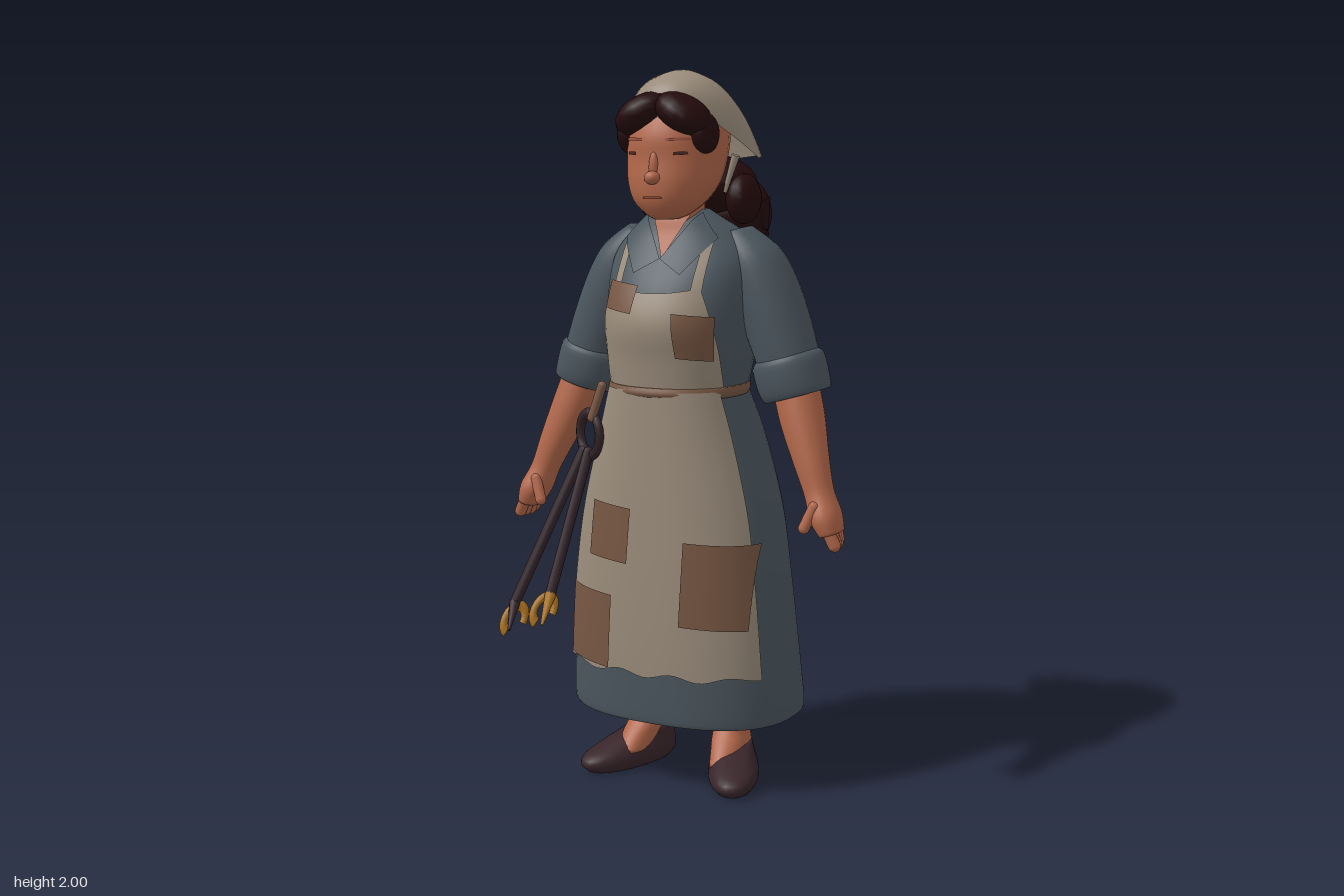
import * as THREE from 'three';
import { mergeVertices } from 'three/addons/utils/BufferGeometryUtils.js';

const paint = (name, color, side = THREE.FrontSide) => {
  const m = new THREE.MeshStandardMaterial({ color, side });
  m.name = name;
  return m;
};
const D = THREE.DoubleSide;
const SKIN = paint('skin', 0xb2674a, D), BLUE = paint('slate cloth', 0x4b565e, D), CREAM = paint('linen', 0x9a8c7b, D),
  BROWN = paint('brown cloth', 0x785743, D), HAIR = paint('dark hair', 0x250b0d), SHOE = paint('shoe leather', 0x38252a),
  IRON = paint('iron', 0x33242a), BRASS = paint('brass', 0xa87019), LIP = paint('lip', 0x97513c, D), EYE = paint('eye', 0x4a2a22, D);

// Smooth grid surface from a function (u, v) -> [x, y, z]
function surface(fn, nu, nv) {
  const p = [], idx = [];
  for (let j = 0; j <= nv; j++) for (let i = 0; i <= nu; i++) p.push(...fn(i / nu, j / nv));
  for (let j = 0; j < nv; j++) for (let i = 0; i < nu; i++) {
    const a = j * (nu + 1) + i, b = a + nu + 1;
    idx.push(a, a + 1, b + 1, a, b + 1, b);
  }
  let g = new THREE.BufferGeometry();
  g.setAttribute('position', new THREE.Float32BufferAttribute(p, 3));
  g.setIndex(idx);
  g = mergeVertices(g, 1e-5);
  g.computeVertexNormals();
  return g;
}

// Cross-sections are [y, centre x, half width, front z, back z], listed upwards
function ringAt(rows, t) {
  const n = rows.length - 1, i = Math.min(n - 1, Math.floor(t * n)), f = t * n - i;
  const [a, b, c, d] = [rows[Math.max(0, i - 1)], rows[i], rows[i + 1], rows[Math.min(n, i + 2)]];
  return b.map((p, k) => p + 0.5 * f * (c[k] - a[k] + f * (2 * a[k] - 5 * p + 4 * c[k] - d[k] + f * (3 * (p - c[k]) + d[k] - a[k]))));
}
function ringAtY(rows, y) {
  let lo = 0, hi = 1;
  for (let k = 0; k < 24; k++) {
    const m = (lo + hi) / 2;
    if (ringAt(rows, m)[0] < y) lo = m; else hi = m;
  }
  return ringAt(rows, lo);
}
// Squarish in front by power p, round at the back
const pw = (v, p) => Math.sign(v) * Math.abs(v) ** p;
function onRing([y, cx, rx, zf, zb], a, p) {
  const q = Math.cos(a) > 0 ? p : 1;
  return [cx + rx * pw(Math.sin(a), q), y, (zf + zb) / 2 + (zf - zb) / 2 * pw(Math.cos(a), q)];
}

// Closed body through cross-sections; slope tilts the sections sideways
function loft(rows, { seg = 28, sub = 4, p = 0.9, slope = 0, open = false } = {}) {
  const n = (rows.length - 1) * sub, e = open ? 0 : 1;
  return surface((u, v) => {
    const j = Math.round(v * (n + 2 * e)) - e;
    const r = ringAt(rows, Math.min(1, Math.max(0, j / n)));
    if (j < 0 || j > n) return [r[1], r[0], (r[3] + r[4]) / 2];
    const q = onRing(r, (Math.round(u * seg) % seg) / seg * Math.PI * 2, p);
    q[1] += slope * (q[0] - r[1]);
    return q;
  }, seg, n + 2 * e);
}
// Thin sheet laid on the front of a body; fn gives (u, v) -> [x, y]
function drape(rows, fn, off, p = 0.9, nu = 10, nv = 10) {
  return surface((u, v) => {
    const [x, y] = fn(u, v), r = ringAtY(rows, y);
    const s = Math.min(0.99, Math.abs(x - r[1]) / r[2]) ** (1 / p);
    return [x, y, (r[3] + r[4]) / 2 + (r[3] - r[4]) / 2 * Math.sqrt(1 - s * s) ** p + off];
  }, nu, nv);
}
const quad = (a, b, c, d) => (u, v) => [0, 1].map(k => (1 - v) * (a[k] + (b[k] - a[k]) * u) + v * (d[k] + (c[k] - d[k]) * u));
const rect = (x0, x1, y0, y1) => quad([x0, y0 + 0.01], [x1 - 0.01, y0], [x1, y1 - 0.01], [x0 + 0.01, y1]);

const TORSO = [[1.12, 0, .185, .15, -.2], [1.22, 0, .2, .162, -.235], [1.32, 0, .205, .175, -.25], [1.42, 0, .215, .14, -.25],
  [1.5, 0, .21, .09, -.225], [1.56, 0, .165, .055, -.185], [1.6, 0, .11, .04, -.13], [1.625, 0, .075, .02, -.09]];
const SKIRT = [[.2, 0, .335, .17, -.355], [.23, 0, .34, .175, -.352], [.4, 0, .33, .178, -.32], [.6, 0, .312, .175, -.292],
  [.8, 0, .282, .168, -.285], [1, 0, .228, .16, -.26], [1.14, 0, .185, .155, -.205]];
const HEAD = [[1.6, 0, .03, .11, .02], [1.615, 0, .058, .13, -.02], [1.65, 0, .098, .148, -.07], [1.7, 0, .122, .152, -.12],
  [1.76, 0, .132, .145, -.15], [1.82, 0, .134, .142, -.17], [1.88, 0, .125, .115, -.17], [1.94, 0, .085, .06, -.12]];
const SCARF = [[1.74, 0, .205, .04, -.25], [1.8, 0, .187, .07, -.24], [1.87, 0, .16, .1, -.22], [1.93, 0, .125, .108, -.178],
  [1.97, 0, .085, .075, -.125], [1.995, 0, .03, .01, -.065], [2, 0, 0, -.03, -.03]];

export function createModel() {
  const root = new THREE.Group();
  const add = (name, geo, mat, parent = root) => {
    const m = new THREE.Mesh(geo, mat);
    m.name = name;
    parent.add(m);
    return m;
  };
  const blob = (name, pos, r, mat, rz = 0) => {
    const m = add(name, new THREE.SphereGeometry(1, 18, 12), mat);
    m.position.set(...pos); m.scale.set(...r); m.rotation.z = rz;
    return m;
  };
  // Rounded rod, or a tapering one when a second radius is given
  const rod = (name, a, b, ra, mat, rb) => {
    const A = new THREE.Vector3(...a), B = new THREE.Vector3(...b), d = B.clone().sub(A), L = d.length();
    const m = add(name, rb === undefined ? new THREE.CapsuleGeometry(ra, L, 4, 10) : new THREE.CylinderGeometry(rb, ra, L, 10), mat);
    m.position.copy(A).add(B).multiplyScalar(0.5);
    m.quaternion.setFromUnitVectors(new THREE.Vector3(0, 1, 0), d.normalize());
    return m;
  };
  const side = (rows, s) => rows.map(([y, x, ...r]) => [y, x * s, ...r]);

  // Dress
  add('bodice', loft(TORSO, { seg: 36 }), BLUE);
  add('skirt', loft(SKIRT, { seg: 48, p: 0.8, open: true }), BLUE);
  add('neck', loft([[1.48, 0, .075, .05, -.08], [1.56, 0, .07, .05, -.08], [1.66, 0, .07, .05, -.08]]), SKIN);
  add('neckline', drape(TORSO, quad([0, 1.495], [0, 1.495], [.055, 1.61], [-.055, 1.61]), .009), SKIN);

  // Apron, bib and patches
  add('apron', drape(SKIRT, (u, v) => {
    const y = .35 + .79 * v + .008 * Math.sin(u * 23) * (1 - v);
    return [(2 * u - 1) * .88 * ringAtY(SKIRT, y)[2] + .008, y];
  }, .022, .8, 30, 24), CREAM);
  add('bib', drape(TORSO, (u, v) => {
    const w = .178 - .045 * v ** 3;
    return [(2 * u - 1) * w - .003, 1.14 + .28 * v - .015 * v * Math.sin(u * Math.PI)];
  }, .018, .9, 20, 14), CREAM);
  [[-.19, -.05, .66, .825], [.1, .285, .49, .735], [-.275, -.11, .355, .575]].forEach(r =>
    add('apronPatch', drape(SKIRT, rect(...r), .028, .8), BROWN));
  add('bibPatch', drape(TORSO, rect(-.15, -.04, 1.35, 1.435), .025), BROWN);
  add('bibPatch', drape(TORSO, quad([.08, 1.235], [.165, 1.225], [.17, 1.345], [.07, 1.355]), .025), BROWN);
  add('belt', loft([[1.12, 0, .192, .174, -.212], [1.134, 0, .196, .182, -.217], [1.15, 0, .194, .176, -.216]], { seg: 40 }), BROWN);

  for (const s of [1, -1]) {
    // Collar and strap
    add('collar', drape(TORSO, quad([0, 1.495], [s * .07, 1.455], [s * .14, 1.55], [s * .08, 1.618]), .018), BLUE);
    add('apronStrap', drape(TORSO, quad([s * .105, 1.4], [s * .133, 1.4], [s * .132, 1.56], [s * .108, 1.56]), .014), CREAM);

    // Arm
    const slope = .3 * s;
    add('sleeve', loft(side([[1.18, .315, .08, .015, -.165], [1.3, .272, .085, .02, -.185], [1.42, .222, .087, .02, -.19],
      [1.5, .185, .075, .01, -.175], [1.565, .14, .045, -.02, -.135]], s), { slope }), BLUE);
    add('cuff', loft(side([[1.135, .333, .07, .0, -.145], [1.12, .333, .088, .015, -.168], [1.15, .32, .096, .025, -.182],
      [1.21, .302, .096, .025, -.184], [1.23, .295, .08, .012, -.17]], s), { slope }), BLUE);
    add('forearm', loft(side([[.765, .474, .03, .07, -.035], [.81, .455, .04, .075, -.045], [.87, .43, .038, .05, -.045],
      [.95, .4, .046, .04, -.07], [1.06, .358, .058, .022, -.12], [1.16, .325, .06, .0, -.14]], s), { slope }), SKIN);
    [.052, .026, 0, -.022].forEach((z, i) =>
      rod('finger', [s * .468, .79, z], [s * (.493 - .004 * i), .738 + .006 * (i === 3), z * .8 + .005], .0175, SKIN));
    rod('thumb', [s * .435, .84, .052], [s * .412, .782, .066], .016, SKIN);

    // Leg and shoe
    add('trouserLeg', loft(side([[.19, .135, .064, -.01, -.16], [.35, .13, .075, .01, -.165], [.75, .1, .09, .03, -.17]], s)), BLUE);
    add('ankle', loft(side([[.05, .152, .05, .06, -.15], [.1, .142, .05, .02, -.15], [.15, .133, .05, -.025, -.14],
      [.24, .133, .055, -.02, -.14]], s)), SKIN);
    const shoe = add('shoe', loft([[0, 0, .06, .15, -.15], [.02, 0, .072, .172, -.165], [.045, 0, .07, .16, -.165],
      [.07, 0, .06, .095, -.162], [.098, 0, .05, .0, -.15]]), SHOE);
    shoe.position.set(s * .168, 0, -.022);
    shoe.rotation.y = s * .4;

    // Side features of the head
    add('eye', drape(HEAD, quad([s * .055, 1.771], [s * .09, 1.773], [s * .088, 1.781], [s * .057, 1.78]), .004), EYE);
    add('eyebrow', drape(HEAD, quad([s * .035, 1.808], [s * .1, 1.81], [s * .095, 1.818], [s * .035, 1.816]), .003), LIP);
    blob('fringe', [s * .06, 1.88, .085], [.084, .05, .078], HAIR, -s * .5);
    blob('sideLock', [s * .112, 1.828, .06], [.032, .055, .058], HAIR);
    blob('hairPuff', [s * .135, 1.65, -.14], [.046, .07, .07], HAIR);
    rod('scarfTie', [s * .135, 1.77, -.085], [s * .1, 1.67, -.09], .012, CREAM, .006);
  }

  // Head
  add('head', loft(HEAD), SKIN);
  blob('nose', [0, 1.712, .154], [.022, .018, .02], SKIN);
  blob('noseBridge', [0, 1.74, .143], [.014, .04, .012], SKIN);
  add('mouth', drape(HEAD, quad([-.03, 1.656], [.03, 1.656], [.026, 1.663], [-.026, 1.663]), .004), LIP);
  add('headscarf', surface((u, v) => {
    const a = (Math.round(u * 40) % 40) / 40 * Math.PI * 2;
    const edge = 1.762 + .165 * Math.max(0, Math.cos(a)) ** 1.1 + .006 * Math.cos(3 * a);
    return v === 1 ? [0, 2, -.03] : onRing(ringAtY(SCARF, edge + (2 - edge) * (1 - (1 - v) ** 1.6)), a, .92);
  }, 40, 16), CREAM);

  // Gathered hair with ragged ends
  blob('backHair', [0, 1.69, -.17], [.155, .085, .12], HAIR);
  blob('backHair', [0, 1.6, -.25], [.145, .085, .085], HAIR);
  [-.1, 0, .1].forEach(x => blob('hairCurl', [x, 1.62, -.26], [.06, .09, .065], HAIR, x * 3));
  [[-.155, 1.55, -.31], [-.08, 1.475, -.29], [-.01, 1.56, -.367], [.05, 1.48, -.3], [.125, 1.54, -.335], [.16, 1.56, -.25]].forEach(t =>
    rod('hairTip', [t[0] * .75, 1.62, -.24], t, .06, HAIR, .003));

  // Pouch and apron knot at the back
  add('pouch', loft([[.89, -.06, .07, -.24, -.31], [.92, -.06, .1, -.22, -.333], [1, -.06, .105, -.2, -.33],
    [1.1, -.06, .09, -.18, -.3], [1.18, -.06, .05, -.18, -.25]]), CREAM);
  blob('knot', [-.07, 1.18, -.25], [.035, .032, .032], BROWN);
  blob('bow', [-.115, 1.155, -.24], [.05, .028, .025], BROWN, .5);
  blob('bow', [-.015, 1.155, -.24], [.05, .028, .025], BROWN, -.5);
  rod('knotTail', [-.075, 1.18, -.25], [-.08, .94, -.372], .035, BROWN, .008);
  rod('knotTail', [-.03, 1.17, -.24], [.01, 1.04, -.325], .035, BROWN, .012);

  // Tongs hanging from the belt
  rod('hangingLoop', [-.17, 1.14, .13], [-.195, 1.05, .145], .013, BROWN);
  const ring = add('tongsRing', new THREE.TorusGeometry(.05, .013, 8, 20), IRON);
  ring.position.set(-.213, 1.0, .125);
  ring.scale.y = 1.2;
  ring.rotation.y = -.5;
  [[[-.24, .95, .115], [-.375, .53, .275], [-.345, .475, .355]], [[-.215, .95, .13], [-.255, .57, .28], [-.245, .5, .345]]].forEach(([a, b, tip], i) => {
    rod('tongsArm', a, b, .015, IRON);
    const jaw = add('tongsJaw', new THREE.TorusGeometry(.026, .01, 6, 14, 4.6), BRASS);
    jaw.position.set(b[0] + (i ? -.015 : .005), b[1] - .045, b[2] + .012);
    jaw.scale.y = 1.6;
    jaw.rotation.set(-.4, .6, -.3);
    rod('tongsTip', b, tip, .016, i ? BRASS : IRON, .004);
  });
  return root;
}
